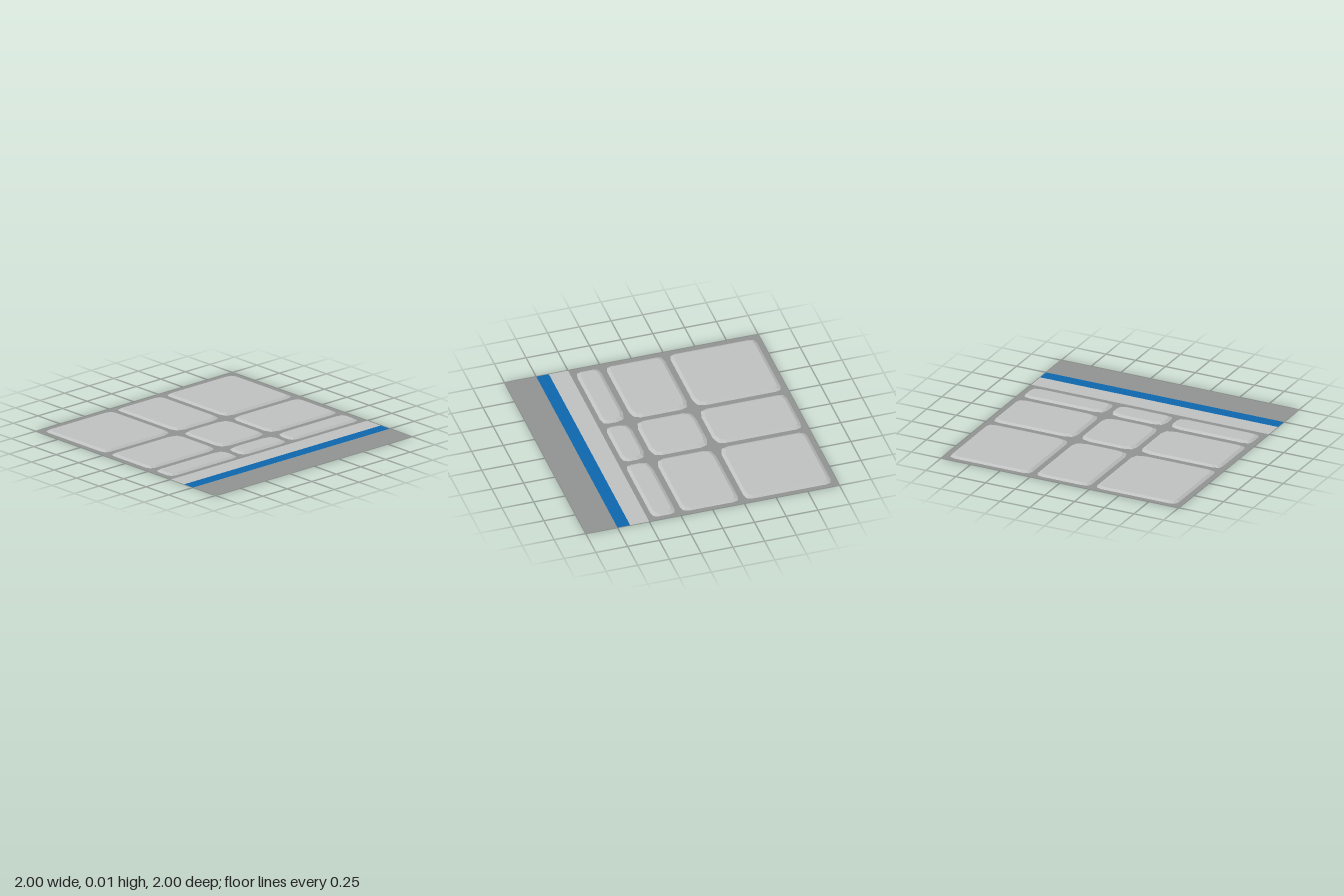
import * as THREE from 'three';

const paving = new THREE.MeshStandardMaterial({ color: 0x8f9291, side: THREE.DoubleSide });
paving.name = 'darkGrey';
const stone = new THREE.MeshStandardMaterial({ color: 0xbec0bf, side: THREE.DoubleSide });
stone.name = 'lightGrey';
const blue = new THREE.MeshStandardMaterial({ color: 0x0d67ad, side: THREE.DoubleSide });
blue.name = 'blue';

const HEIGHT = 0.012;
const BEVEL = 0.025;

// Flat ground band running the full depth of the tile
function band(name, x0, x1, material) {
  const geometry = new THREE.PlaneGeometry(x1 - x0, 2).rotateX(-Math.PI / 2);
  const mesh = new THREE.Mesh(geometry, material);
  mesh.name = name;
  mesh.position.x = (x0 + x1) / 2;
  return mesh;
}

// Raised slab with clipped corners and sloping edges
function slab(name, [x0, x1], [z0, z1], cut) {
  const cx = (x0 + x1) / 2, cz = (z0 + z1) / 2;
  const w = (x1 - x0) / 2, d = (z1 - z0) / 2;
  const ring = [];
  // Corners anticlockwise from above, three points each
  for (const [sx, sz] of [[1, 1], [1, -1], [-1, -1], [-1, 1]]) {
    const c = cut(cx + sx * w, cz + sz * d);
    const corner = [[c * 0.8, 0], [c * 0.22, c * 0.22], [0, c]]
      .map(([a, b]) => [sx * (w - a), sz * (d - b)]);
    ring.push(...(sx * sz > 0 ? corner : corner.reverse()));
  }
  const low = ring.map(([x, z]) => [cx + x, 0, cz + z]);
  const high = ring.map(([x, z]) => [cx + x * (1 - BEVEL / w), HEIGHT, cz + z * (1 - BEVEL / d)]);
  const positions = [];
  ring.forEach((_, i) => {
    const j = (i + 1) % ring.length;
    positions.push(...low[i], ...low[j], ...high[j], ...low[i], ...high[j], ...high[i]);
    positions.push(cx, HEIGHT, cz, ...high[i], ...high[j]);
  });
  const geometry = new THREE.BufferGeometry();
  geometry.setAttribute('position', new THREE.Float32BufferAttribute(positions, 3));
  geometry.computeVertexNormals();
  const mesh = new THREE.Mesh(geometry, stone);
  mesh.name = name;
  return mesh;
}

export function createModel() {
  const model = new THREE.Group();
  model.name = 'pavementTile';

  // Ground bands
  model.add(
    band('pavingBase', -1, 0.5, paving),
    band('kerbStrip', 0.5, 0.65, stone),
    band('blueLine', 0.65, 0.75, blue),
    band('roadEdge', 0.75, 1, paving),
  );

  // Three by three slabs; corners at inner crossings are clipped more
  const columns = [[-0.96, -0.275], [-0.23, 0.225], [0.27, 0.46]];
  const rows = [[-0.96, -0.275], [-0.23, 0.225], [0.27, 0.955]];
  const cut = (x, z) => (Math.abs(x) < 0.4 && Math.abs(z) < 0.4 ? 0.09 : 0.06);
  const slabs = new THREE.Group();
  slabs.name = 'pavingSlabs';
  rows.forEach((row, r) => columns.forEach((column, c) => {
    slabs.add(slab(`slabRow${r + 1}Column${c + 1}`, column, row, cut));
  }));
  model.add(slabs);
  return model;
}
